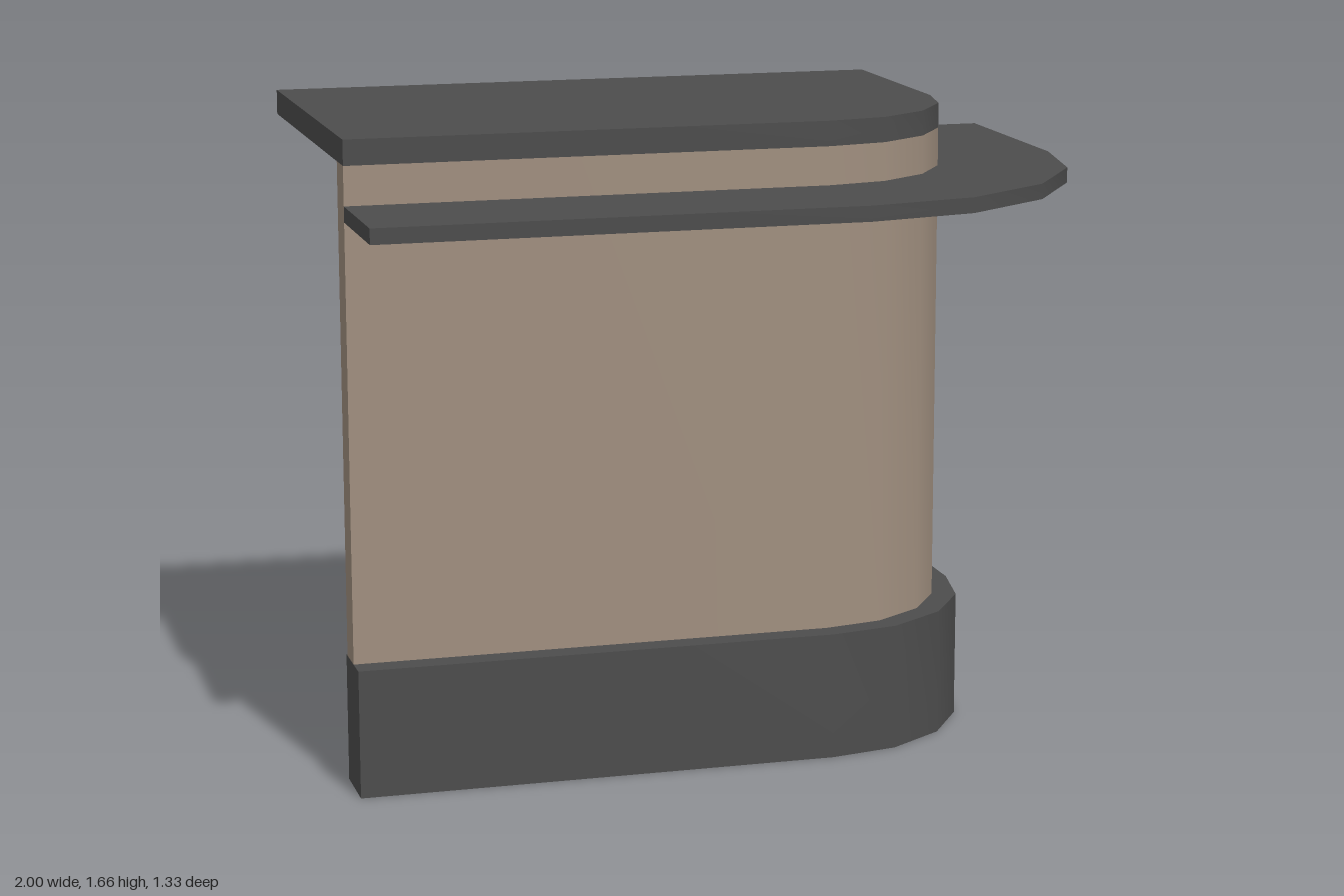
import * as THREE from 'three';
import { toCreasedNormals } from 'three/addons/utils/BufferGeometryUtils.js';

// Every layer follows the same rounded corner, offset by its radius
const CX = 0.25, CZ = -0.085;
const END_X = -1, END_Z = -0.665;
const STEPS = 4;

// Line from the left end, round the corner, to the rear end (shape y = -z)
function cornerPath(radius) {
  const points = [new THREE.Vector2(END_X, -(CZ + radius))];
  for (let i = 0; i <= STEPS; i++) {
    const a = (i / STEPS) * Math.PI / 2;
    points.push(new THREE.Vector2(CX + radius * Math.sin(a), -(CZ + radius * Math.cos(a))));
  }
  points.push(new THREE.Vector2(CX + radius, -END_Z));
  return points;
}

// Upright layer between two heights; without an inner radius it is a full slab
function layer(name, material, bottom, top, outer, inner) {
  const outline = cornerPath(outer);
  if (inner === undefined) outline.push(new THREE.Vector2(END_X, -END_Z));
  else outline.push(...cornerPath(inner).reverse());
  let geometry = new THREE.ExtrudeGeometry(new THREE.Shape(outline), {
    depth: top - bottom, bevelEnabled: false,
  });
  geometry.rotateX(-Math.PI / 2);
  geometry.translate(0, bottom, 0);
  geometry = toCreasedNormals(geometry, Math.PI / 6);
  const mesh = new THREE.Mesh(geometry, material);
  mesh.name = name;
  return mesh;
}

export function createModel() {
  const charcoal = new THREE.MeshStandardMaterial({ color: 0x4d4d4d });
  charcoal.name = 'charcoal';
  const tan = new THREE.MeshStandardMaterial({ color: 0xa08f7f });
  tan.name = 'tan';

  const group = new THREE.Group();
  group.name = 'cornerBar';
  group.add(
    layer('plinth', charcoal, 0, 0.333, 0.475, 0.31),
    layer('wall', tan, 0.333, 1.6, 0.41, 0.325),
    layer('counterLedge', charcoal, 1.46, 1.5, 0.75, 0.41),
    layer('topSlab', charcoal, 1.6, 1.665, 0.41),
  );
  return group;
}
